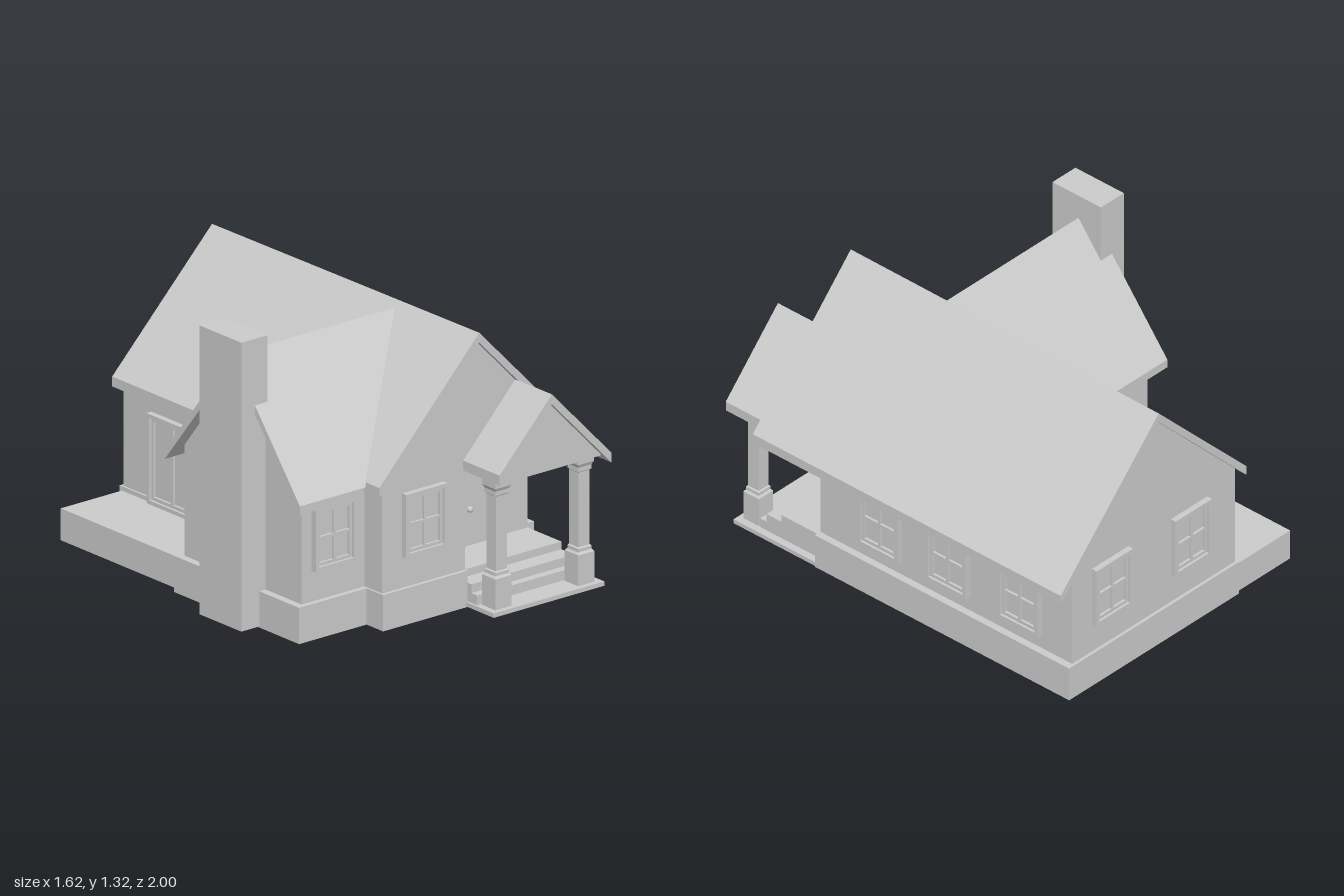
import * as THREE from 'three';

const material = new THREE.MeshStandardMaterial({ color: 0xcccccc, flatShading: true });

function add(parent, name, geometry, x = 0, y = 0, z = 0) {
  const mesh = new THREE.Mesh(geometry, material);
  mesh.name = name;
  mesh.position.set(x, y, z);
  parent.add(mesh);
  return mesh;
}

// box given by its limits on each axis
function block(parent, name, [x0, x1], [y0, y1], [z0, z1]) {
  return add(parent, name, new THREE.BoxGeometry(x1 - x0, y1 - y0, z1 - z0),
    (x0 + x1) / 2, (y0 + y1) / 2, (z0 + z1) / 2);
}

const polygon = (points) => new THREE.Shape(points.map(([x, y]) => new THREE.Vector2(x, y)));
const rect = (x0, y0, x1, y1) => polygon([[x0, y0], [x1, y0], [x1, y1], [x0, y1]]);
const extrude = (shape, depth) => new THREE.ExtrudeGeometry(shape, { depth, bevelEnabled: false });

// footprint given as [x, z], raised from y0 to y1
function slab(parent, name, points, y0, y1) {
  const geometry = extrude(polygon(points.map(([x, z]) => [x, -z])), y1 - y0);
  return add(parent, name, geometry.rotateX(-Math.PI / 2), 0, y0, 0);
}

// two roof planes meeting at a ridge at the origin, with plumb-cut eaves
function roofGeometry(left, right, slope, thick, depth) {
  return extrude(polygon([
    [0, 0], [-left, -left * slope], [-left, -left * slope - thick], [0, -thick],
    [right, -right * slope - thick], [right, -right * slope],
  ]), depth);
}

// frame with evenly divided openings, lower edge centred on the origin
function grille(w, h, cols, rows, border, bar) {
  const shape = rect(-w / 2, 0, w / 2, h);
  const pw = (w - 2 * border - (cols - 1) * bar) / cols;
  const ph = (h - 2 * border - (rows - 1) * bar) / rows;
  for (let i = 0; i < cols; i++) for (let j = 0; j < rows; j++) {
    const x = -w / 2 + border + i * (pw + bar), y = border + j * (ph + bar);
    shape.holes.push(rect(x, y, x + pw, y + ph));
  }
  return shape;
}

// window or glazed door: casing, sash and glass, facing +z before turning
function glazing(parent, name, w, h, cols, rows, [x, y, z], turn = 0) {
  const group = new THREE.Group();
  group.name = name;
  group.position.set(x, y, z);
  group.rotation.y = turn;
  add(group, 'casing', extrude(grille(w, h, 1, 1, 0.018, 0), 0.03));
  add(group, 'sash', extrude(grille(w - 0.036, h - 0.036, cols, rows, 0.015, 0.012), 0.018), 0, 0.018, 0);
  block(group, 'glass', [-w / 2 + 0.02, w / 2 - 0.02], [0.02, h - 0.02], [-0.01, 0.006]);
  parent.add(group);
}

export function createModel() {
  const house = new THREE.Group();
  house.name = 'house';

  // main block with the front corner cut out for the porch
  const footprint = (x0, x1, z0, z1, nx, nz) =>
    [[x0, z0], [x1, z0], [x1, nz], [nx, nz], [nx, z1], [x0, z1]];
  slab(house, 'mainPlinth', footprint(-0.34, 0.735, -0.98, 0.775, 0.13, 0.49), 0, 0.165);
  slab(house, 'mainWalls', footprint(-0.33, 0.7, -0.965, 0.757, 0.13, 0.49), 0.16, 0.61);
  add(house, 'mainGables', extrude(polygon([
    [-0.33, 0.6], [0.7, 0.6], [0.7, 0.66], [0.19, 1.19], [-0.33, 0.65],
  ]), 1.722), 0, 0, -0.965);

  // main roof, its ridge dipping slightly to the back
  const mainSlope = 1.036;
  const mainRoof = roofGeometry(0.555, 0.62, mainSlope, 0.045, 1.78);
  const mp = mainRoof.attributes.position;
  for (let i = 0; i < mp.count; i++) {
    if (mp.getZ(i) < 0.1 && Math.abs(mp.getX(i)) < 0.01) mp.setY(i, mp.getY(i) - 0.012);
  }
  add(house, 'mainRoof', mainRoof, 0.19, 1.235, -1);

  // side wing
  block(house, 'wingPlinth', [-0.715, -0.3], [0, 0.165], [-0.17, 0.665]);
  block(house, 'wingWalls', [-0.68, -0.3], [0.16, 0.63], [-0.14, 0.64]);
  add(house, 'wingGable', extrude(polygon([
    [-0.39, 0.6], [0.39, 0.6], [0.39, 0.67], [0, 1.16], [-0.39, 0.67],
  ]), 0.45).rotateY(Math.PI / 2), -0.68, 0, 0.25);

  // wing roof, its inner end mitred along the main roof plane
  const wingRoof = roofGeometry(0.45, 0.45, 1.25, 0.04, 0.9).rotateY(Math.PI / 2);
  wingRoof.translate(-0.74, 1.205, 0.25);
  const wp = wingRoof.attributes.position;
  for (let i = 0; i < wp.count; i++) {
    if (wp.getX(i) > 0) wp.setX(i, 0.195 - (1.235 - wp.getY(i)) / mainSlope);
  }
  wingRoof.computeVertexNormals();
  add(house, 'wingRoof', wingRoof);

  // chimney and back terrace
  block(house, 'chimney', [-0.815, -0.67], [0.005, 1.32], [0.12, 0.4]);
  block(house, 'terrace', [-0.68, -0.335], [0, 0.145], [-0.965, -0.16]);

  // porch floor and steps
  block(house, 'porchFloor', [0.13, 0.7], [0, 0.145], [0.48, 0.715]);
  block(house, 'upperStep', [0.13, 0.7], [0, 0.11], [0.7, 0.8]);
  block(house, 'lowerStep', [0.13, 0.7], [0, 0.07], [0.78, 0.838]);
  block(house, 'porchSlab', [0.12, 0.735], [0.005, 0.025], [0.48, 0.96]);

  // square porch columns turned from one profile
  const columnProfile = [
    [0, 0.02], [0.045, 0.02], [0.045, 0.165], [0.037, 0.175], [0.037, 0.19], [0.031, 0.195],
    [0.031, 0.535], [0.037, 0.54], [0.037, 0.56], [0.044, 0.575], [0.044, 0.615], [0, 0.615],
  ].map(([r, y]) => new THREE.Vector2(r * Math.SQRT2, y));
  for (const x of [0.195, 0.655]) {
    const column = new THREE.LatheGeometry(columnProfile, 4).rotateY(Math.PI / 4);
    add(house, 'porchColumn', column, x, 0, 0.89);
  }

  // porch gable and roof
  add(house, 'porchGable', extrude(polygon([
    [0.15, 0.61], [0.7, 0.61], [0.7, 0.62], [0.41, 0.92], [0.15, 0.65],
  ]), 0.225), 0, 0, 0.75);
  add(house, 'porchRoof', roofGeometry(0.29, 0.33, 1.04, 0.045, 0.25), 0.41, 0.965, 0.75);

  // front door
  add(house, 'doorFrame', extrude(grille(0.22, 0.4, 1, 1, 0.02, 0), 0.027), 0.425, 0.125, 0.488);
  block(house, 'doorLeaf', [0.335, 0.515], [0.145, 0.51], [0.48, 0.5]);
  add(house, 'doorKnob', new THREE.SphereGeometry(0.014, 12, 8), 0.36, 0.315, 0.515);

  // windows and glazed terrace door
  glazing(house, 'wingWindow', 0.23, 0.29, 2, 2, [-0.51, 0.305, 0.638]);
  glazing(house, 'frontWindow', 0.23, 0.29, 2, 2, [-0.105, 0.305, 0.755]);
  for (const z of [0.135, -0.26, -0.675]) {
    glazing(house, 'sideWindow', 0.235, 0.285, 2, 2, [0.7, 0.235, z], Math.PI / 2);
  }
  for (const x of [0.46, -0.04]) {
    glazing(house, 'backWindow', 0.23, 0.29, 2, 2, [x, 0.305, -0.963], Math.PI);
  }
  glazing(house, 'terraceDoor', 0.44, 0.41, 3, 1, [-0.328, 0.145, -0.56], -Math.PI / 2);

  return house;
}
